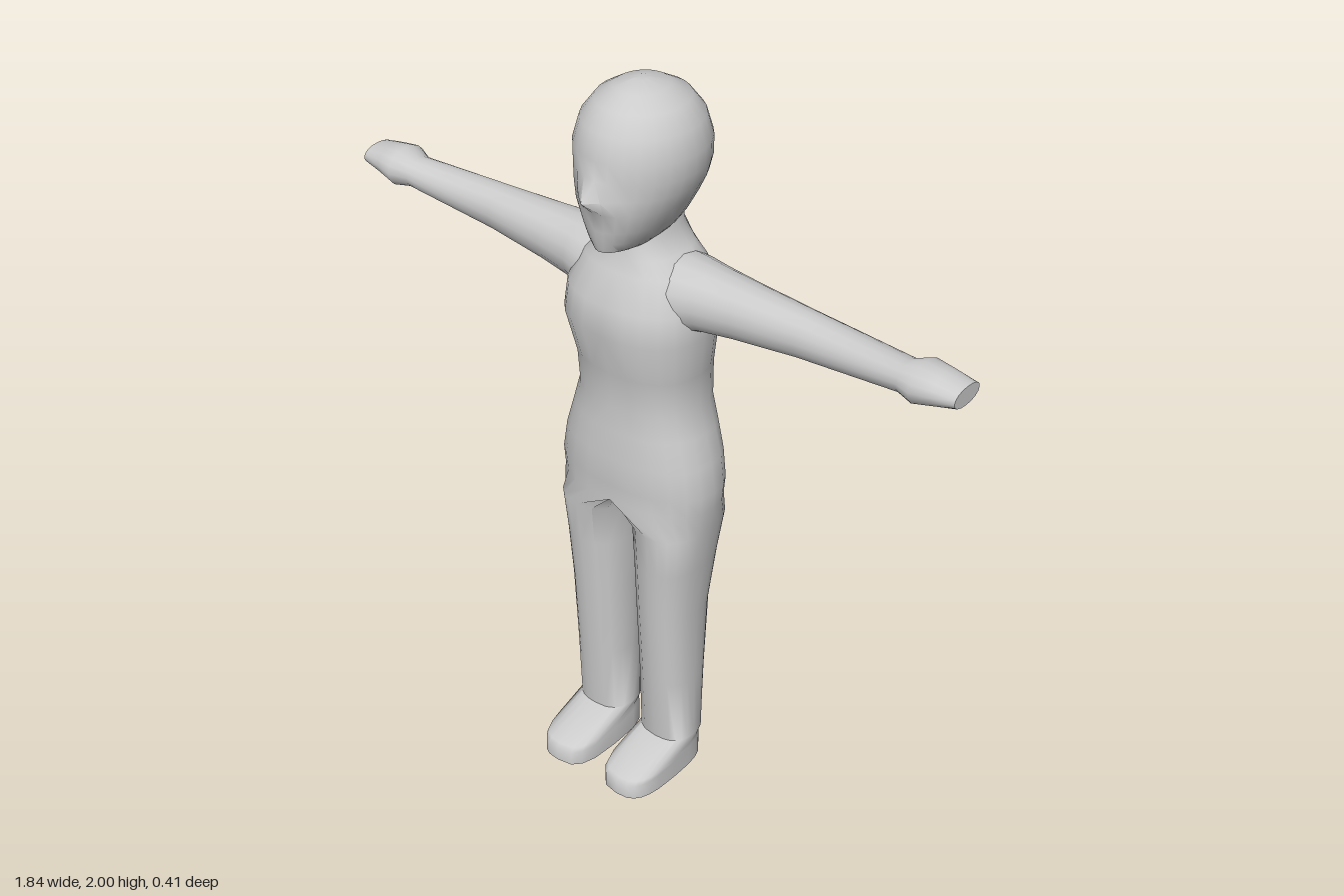
import * as THREE from 'three';
import { mergeVertices, toCreasedNormals } from 'three/addons/utils/BufferGeometryUtils.js';

const material = new THREE.MeshStandardMaterial({ color: 0xcccccc });
const power = (v, p) => Math.sign(v) * Math.abs(v) ** p;

// Point on a rounded section spanning x0..x1 and zFront..zBack; angle 0 faces the front
function sectionPoint(t, x0, x1, zf, zb, p) {
  return [
    (x0 + x1) / 2 + (x1 - x0) / 2 * power(Math.sin(t), p),
    (zf + zb) / 2 + (zf - zb) / 2 * power(Math.cos(t), p),
  ];
}

// Joins triangles, welds the shared points and smooths all but the hard edges
function finish(positions, crease = 1.1) {
  const geometry = new THREE.BufferGeometry();
  geometry.setAttribute('position', new THREE.Float32BufferAttribute(positions, 3));
  return toCreasedNormals(mergeVertices(geometry, 1e-4), crease);
}

// Skins a stack of closed rings, top ring first
function skin(rings, out, skipFace = () => false) {
  for (let r = 0; r < rings.length - 1; r++) {
    const n = rings[r].length;
    for (let i = 0; i < n; i++) {
      if (skipFace(r, i)) continue;
      const j = (i + 1) % n;
      const [a, b, c, d] = [rings[r][i], rings[r + 1][i], rings[r][j], rings[r + 1][j]];
      out.push(...a, ...b, ...d, ...a, ...d, ...c);
    }
  }
}

function cap(ring, out, top) {
  const mid = [0, 1, 2].map((k) => ring.reduce((s, p) => s + p[k], 0) / ring.length);
  ring.forEach((p, i) => {
    const q = ring[(i + 1) % ring.length];
    out.push(...mid, ...(top ? p : q), ...(top ? q : p));
  });
}

// Rows: [y, x0, x1, zFront, zBack]
function loft(rows, sides, p, shape = (v) => v) {
  const out = [];
  const rings = rows.map(([y, ...s]) => Array.from({ length: sides }, (_, i) => {
    const [x, z] = sectionPoint(i / sides * Math.PI * 2, ...s, p);
    return shape([x, y, z]);
  }));
  skin(rings, out);
  cap(rings[0], out, true);
  cap(rings[rings.length - 1], out, false);
  return finish(out);
}

// Neck, torso, legs and feet as one skin: the left half is built, then mirrored
function bodyGeometry() {
  const OUTER = 12, INNER = 8;
  // [y, halfWidth, zFront, zBack]; the last row is the crotch
  const torso = [
    [1.68, 0.07, 0.05, -0.13], [1.61, 0.075, 0.065, -0.145], [1.565, 0.11, 0.07, -0.155],
    [1.53, 0.155, 0.085, -0.163], [1.45, 0.19, 0.125, -0.17], [1.37, 0.198, 0.135, -0.175],
    [1.25, 0.177, 0.105, -0.175], [1.15, 0.175, 0.095, -0.175], [1.08, 0.195, 0.1, -0.177],
    [1.0, 0.218, 0.107, -0.177], [0.92, 0.23, 0.11, -0.175], [0.87, 0.227, 0.105, -0.17],
  ];
  // [yFront, yBack, xInner, xOuter, zFront, zBack, roundness]
  const legs = [
    [0.8, 0.8, 0.016, 0.218, 0.1, -0.161, 0.85], [0.68, 0.68, 0.021, 0.204, 0.09, -0.141, 0.85],
    [0.53, 0.53, 0.026, 0.191, 0.08, -0.119, 0.85], [0.3, 0.3, 0.029, 0.187, 0.064, -0.105, 0.85],
    [0.1, 0.1, 0.028, 0.185, 0.05, -0.095, 0.8], [0.052, 0.085, 0.027, 0.185, 0.2, -0.095, 0.65],
    [0.04, 0.07, 0.025, 0.185, 0.21, -0.095, 0.65], [0, 0, 0.025, 0.185, 0.21, -0.095, 0.65],
  ];
  const angles = Array.from({ length: OUTER + INNER }, (_, i) =>
    i <= OUTER ? Math.PI * i / OUTER : Math.PI * (1 + (i - OUTER) / INNER));
  const rings = [
    ...torso.map(([y, w, zf, zb]) => angles.map((t) => {
      const [x, z] = sectionPoint(t, -w, w, zf, zb, 0.85);
      return [t >= Math.PI - 1e-6 ? 0 : x, y, z];
    })),
    ...legs.map(([yf, yb, x0, x1, zf, zb, p]) => angles.map((t) => {
      const [x, z] = sectionPoint(t, x0, x1, zf, zb, p);
      return [x, yb + (yf - yb) * (z - zb) / (zf - zb), z];
    })),
  ];
  const half = [];
  skin(rings, half, (r, i) => r < torso.length - 1 && i >= OUTER);
  cap(rings[rings.length - 1], half, false);
  const all = half.slice();
  for (let i = 0; i < half.length; i += 9) {
    for (const k of [0, 6, 3]) all.push(-half[i + k], half[i + k + 1], half[i + k + 2]);
  }
  return finish(all, 1.2);
}

function headGeometry() {
  // [y, halfWidth, zFront, zBack]
  const rows = [
    [2.0, 0.015, 0.0, -0.04], [1.985, 0.065, 0.05, -0.095], [1.955, 0.112, 0.095, -0.148],
    [1.91, 0.145, 0.13, -0.183], [1.85, 0.16, 0.15, -0.203], [1.8, 0.158, 0.151, -0.205],
    [1.76, 0.149, 0.155, -0.198], [1.72, 0.132, 0.16, -0.187], [1.67, 0.107, 0.152, -0.165],
    [1.635, 0.083, 0.146, -0.15], [1.608, 0.06, 0.138, -0.135],
  ].map(([y, w, ...z]) => [y, -w, w, ...z]);
  // Pull the nose forward
  return loft(rows, 28, 1, ([x, y, z]) => {
    const nose = z > 0 ? Math.max(0, 1 - Math.abs(x) / 0.06) * Math.max(0, 1 - Math.abs(y - 1.76) / 0.04) : 0;
    return [x, y, z + 0.045 * nose];
  });
}

function armGeometry() {
  // [x, yTop, yBottom, zFront, zBack], from fingertips to shoulder
  const rows = [
    [0.92, 1.522, 1.472, 0.008, -0.095], [0.86, 1.537, 1.455, 0.018, -0.1],
    [0.81, 1.546, 1.443, 0.03, -0.105], [0.765, 1.53, 1.452, 0.012, -0.085],
    [0.48, 1.542, 1.422, 0.012, -0.103], [0.3, 1.55, 1.402, 0.028, -0.12],
    [0.2, 1.556, 1.388, 0.042, -0.133], [0.14, 1.562, 1.37, 0.06, -0.145], [0.06, 1.565, 1.36, 0.06, -0.145],
  ].map(([x, top, bottom, zf, zb]) => [x, -top, -bottom, zf, zb]);
  return loft(rows, 16, 0.95).rotateZ(-Math.PI / 2);
}

export function createModel() {
  const model = new THREE.Group();
  model.name = 'figure';
  const add = (name, geometry) => {
    const mesh = new THREE.Mesh(geometry, material);
    mesh.name = name;
    model.add(mesh);
    return mesh;
  };
  add('body', bodyGeometry());
  add('head', headGeometry());
  const arm = armGeometry();
  add('leftArm', arm);
  add('rightArm', arm).scale.x = -1;
  return model;
}
